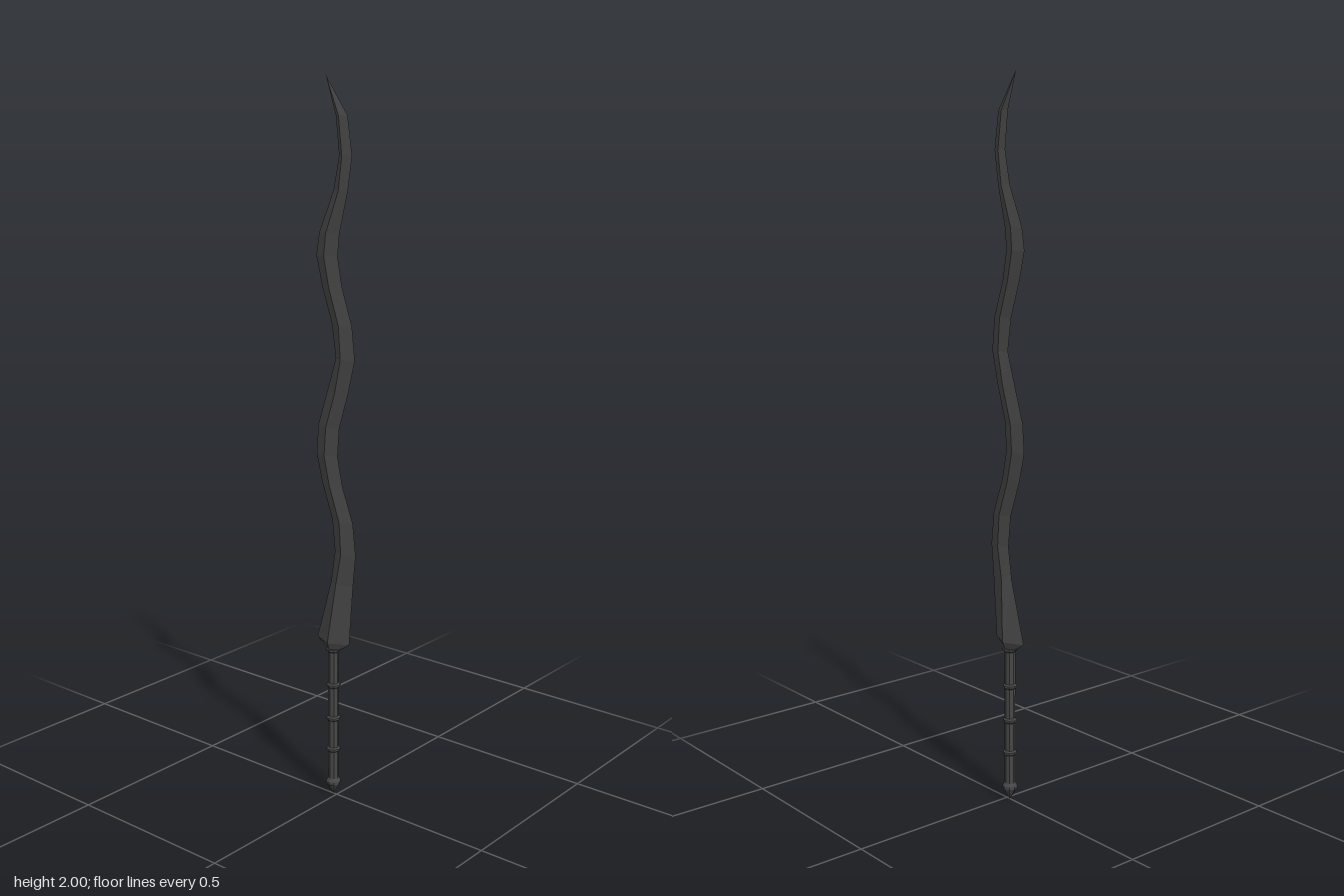
import * as THREE from 'three';

const steel = new THREE.MeshStandardMaterial({ color: 0x464646, flatShading: true });
steel.name = 'dark steel';

const AXIS = -0.012; // x of the handle's centre line

// Diamond cross-sections of the wavy blade: y, left edge, ridge, right edge, half thickness
const SECTIONS = [
  [0.44, -0.03, AXIS, 0.006, 0.016],
  [0.467, -0.07, AXIS, 0.045, 0.027],
  [0.64, -0.02, 0.008, 0.058, 0.014],
  [0.73, -0.006, 0.025, 0.067, 0.013],
  [0.82, -0.015, 0.019, 0.057, 0.013],
  [0.92, -0.051, -0.016, 0.02, 0.013],
  [1.0, -0.071, -0.034, 0.003, 0.013],
  [1.08, -0.065, -0.028, 0.009, 0.013],
  [1.18, -0.032, 0.004, 0.04, 0.013],
  [1.27, -0.003, 0.023, 0.062, 0.013],
  [1.36, -0.016, 0.016, 0.052, 0.013],
  [1.46, -0.05, -0.017, 0.018, 0.013],
  [1.54, -0.07, -0.034, 0.003, 0.013],
  [1.6, -0.06, -0.028, 0.009, 0.012],
  [1.71, -0.011, 0.013, 0.037, 0.01],
  [1.8, 0.008, 0.025, 0.051, 0.01],
  [1.9, -0.003, 0.013, 0.036, 0.009],
  [2.0, -0.036, -0.036, -0.036, 0],
];

// Join the diamond sections into one closed blade
function bladeGeometry() {
  const rings = SECTIONS.map(([y, left, ridge, right, t]) => [
    [left, y, 0], [ridge, y, t], [right, y, 0], [ridge, y, -t],
  ]);
  const pos = [];
  const tri = (a, b, c) => pos.push(...a, ...b, ...c);
  for (let i = 0; i < rings.length - 1; i++) {
    const lower = rings[i], upper = rings[i + 1];
    for (let k = 0; k < 4; k++) {
      const n = (k + 1) % 4;
      tri(lower[k], lower[n], upper[n]);
      if (i < rings.length - 2) tri(lower[k], upper[n], upper[k]);
    }
  }
  const base = rings[0];
  tri(base[0], base[2], base[1]);
  tri(base[0], base[3], base[2]);
  const geo = new THREE.BufferGeometry();
  geo.setAttribute('position', new THREE.Float32BufferAttribute(pos, 3));
  geo.computeVertexNormals();
  return geo;
}

export function createModel() {
  const sword = new THREE.Group();
  sword.name = 'wavySword';
  const add = (name, geo, x = 0, y = 0) => {
    const mesh = new THREE.Mesh(geo, steel);
    mesh.name = name;
    mesh.position.set(x, y, 0);
    sword.add(mesh);
  };

  add('blade', bladeGeometry());

  // Handle with raised bands
  add('handle', new THREE.CylinderGeometry(0.015, 0.015, 0.41, 8), AXIS, 0.245);
  const band = new THREE.LatheGeometry(
    [[0.014, -0.008], [0.02, -0.003], [0.02, 0.003], [0.014, 0.008]].map(p => new THREE.Vector2(...p)), 8);
  [0.14, 0.235, 0.335, 0.442].forEach((y, i) => add('handleBand' + (i + 1), band, AXIS, y));

  // Pointed pommel
  const pommel = new THREE.LatheGeometry(
    [[0, 0], [0.021, 0.034], [0.021, 0.042], [0.014, 0.052]].map(p => new THREE.Vector2(...p)), 8);
  add('pommel', pommel, AXIS, 0);

  return sword;
}
